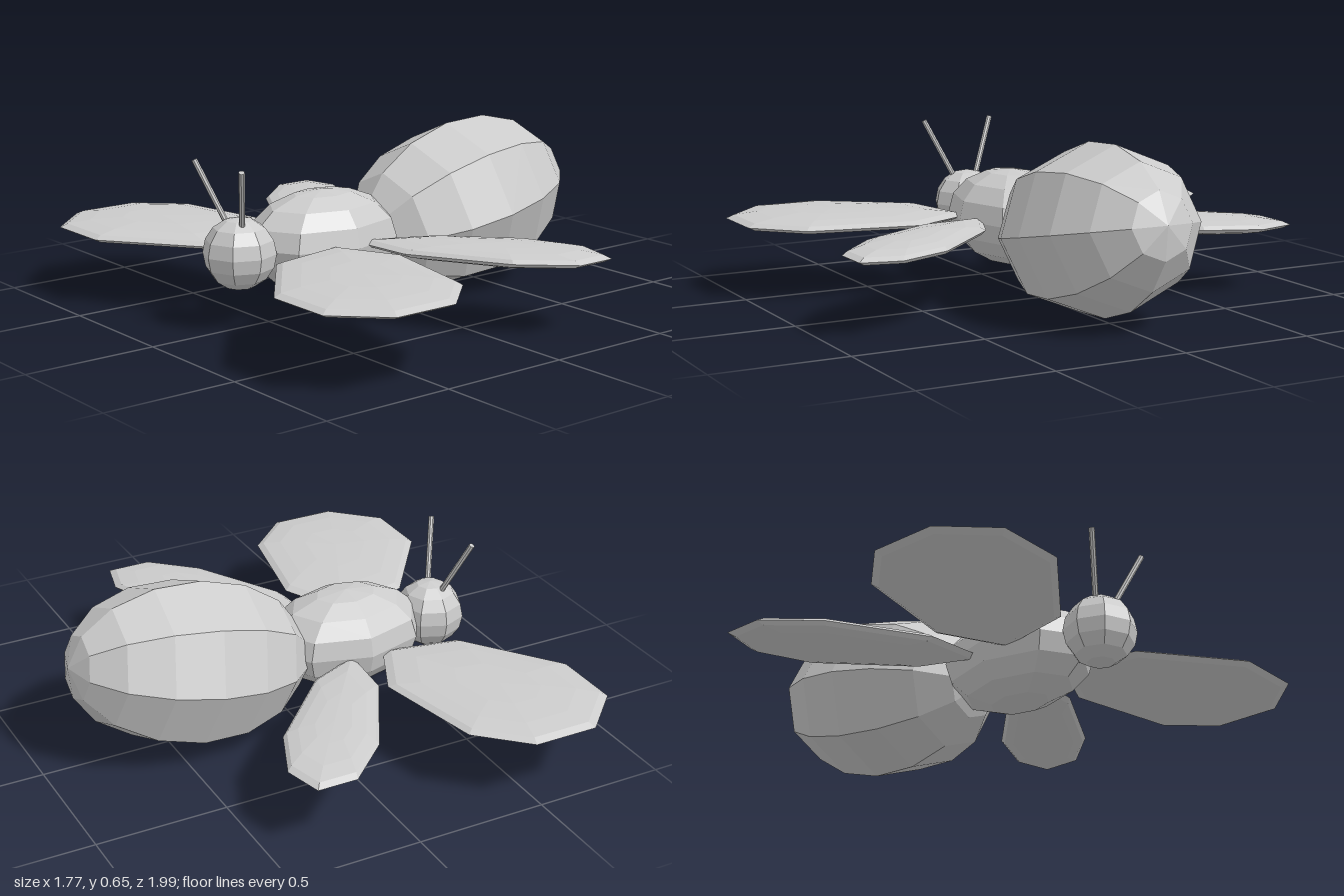
import * as THREE from 'three';

const material = new THREE.MeshStandardMaterial({ color: 0xcccccc, flatShading: true });

function addMesh(parent, name, geometry) {
  const mesh = new THREE.Mesh(geometry, material);
  mesh.name = name;
  parent.add(mesh);
  return mesh;
}

// Eight-sided ellipsoid used for all body segments
function ellipsoid(rx, ry, rz) {
  return new THREE.SphereGeometry(1, 8, 8).scale(rx, ry, rz);
}

// Flattened sphere whose eight meridians reach the points of an outline [x, z]
function wingGeometry(outline, thickness) {
  const geometry = new THREE.SphereGeometry(1, 8, 8);
  const p = geometry.attributes.position;
  const cx = outline.reduce((s, q) => s + q[0], 0) / 8;
  const cz = outline.reduce((s, q) => s + q[1], 0) / 8;
  for (let i = 0; i < p.count; i++) {
    const [x, z] = outline[(i % 9) % 8];
    const r = Math.hypot(p.getX(i), p.getZ(i));
    p.setXYZ(i, cx + r * (x - cx), p.getY(i) * thickness, cz + r * (z - cz));
  }
  geometry.computeVertexNormals();
  return geometry;
}

// Outlines of the wings on the +z side
const foreWing = [
  [-0.884, 0.83], [-0.714, 0.995], [-0.466, 0.995], [-0.291, 0.83],
  [-0.206, 0.407], [-0.325, 0.16], [-0.62, 0.217], [-0.884, 0.566],
];
const hindWing = [
  [-0.18, 0.386], [0.021, 0.74], [0.196, 0.9], [0.349, 0.9],
  [0.386, 0.751], [0.296, 0.54], [0.005, 0.238], [-0.2, 0.15],
];

export function createModel() {
  const model = new THREE.Group();
  model.name = 'bee';

  // Body, head towards -x
  addMesh(model, 'head', ellipsoid(0.135, 0.133, 0.135)).position.set(-0.625, 0.283, 0);
  addMesh(model, 'thorax', ellipsoid(0.32, 0.186, 0.22)).position.set(-0.25, 0.283, 0);

  // Abdomen: poles along its length, tail tipped up
  const abdomen = addMesh(model, 'abdomen', ellipsoid(0.32, 0.48, 0.32).rotateZ(-Math.PI / 2));
  abdomen.position.set(0.41, 0.33, 0);
  abdomen.rotation.z = 0.188;

  for (const side of [1, -1]) {
    const label = side > 0 ? 'Left' : 'Right';

    // Antennae
    const base = new THREE.Vector3(-0.64, 0.37, 0.04 * side);
    const tip = new THREE.Vector3(-0.713, 0.613, 0.148 * side);
    const antenna = addMesh(model, 'antenna' + label,
      new THREE.CylinderGeometry(0.011, 0.011, base.distanceTo(tip), 8));
    antenna.position.lerpVectors(base, tip, 0.5);
    antenna.quaternion.setFromUnitVectors(
      new THREE.Vector3(0, 1, 0), tip.clone().sub(base).normalize());

    // Wings; the mirrored outline is reversed to keep its faces outward
    for (const [name, points] of [['foreWing', foreWing], ['hindWing', hindWing]]) {
      const outline = side > 0 ? points : points.map(([x, z]) => [x, -z]).reverse();
      const wing = addMesh(model, name + label, wingGeometry(outline, 0.036));
      wing.position.y = side > 0 ? 0.285 : 0.262;
    }
  }
  return model;
}
